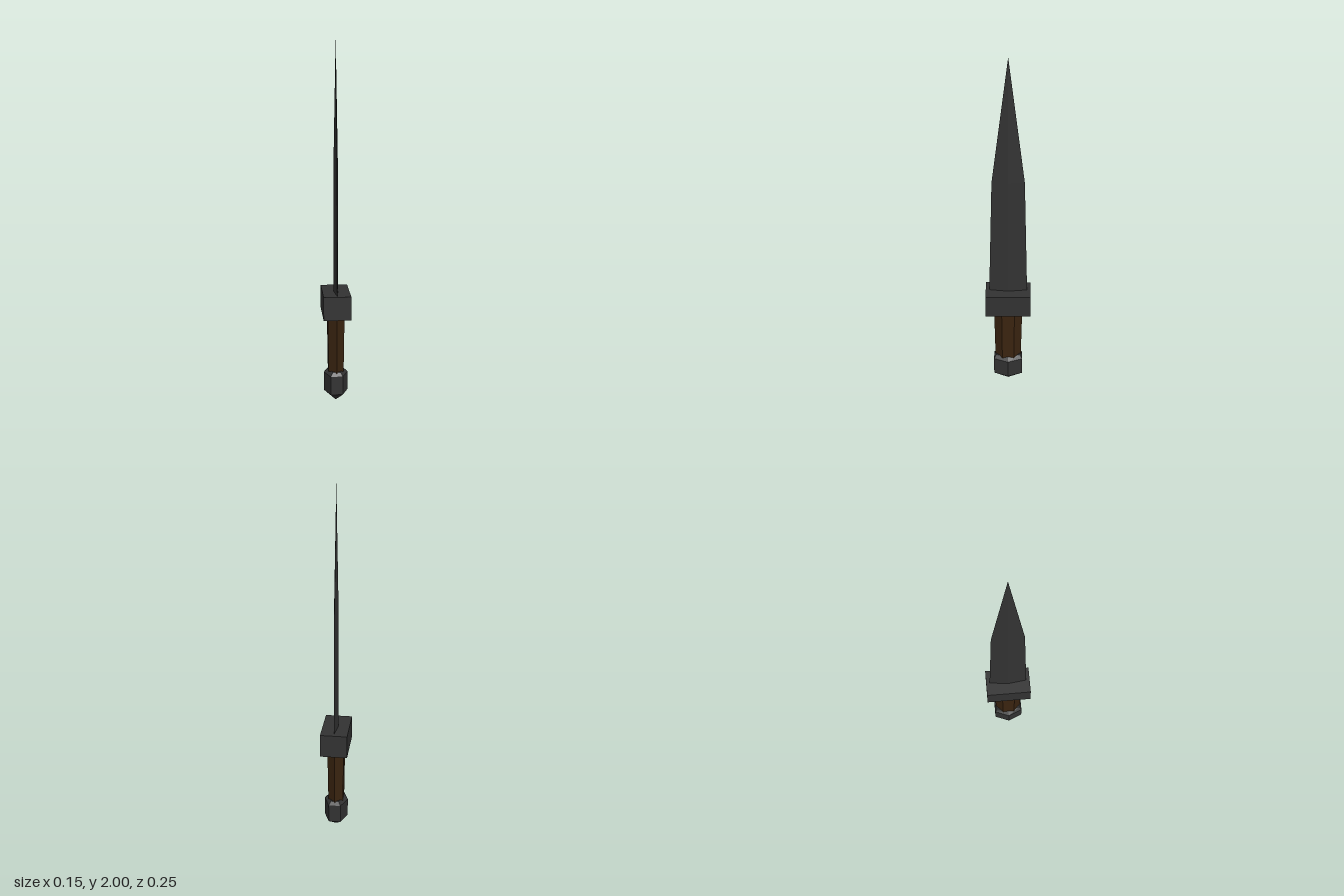
import * as THREE from 'three';

const metal = new THREE.MeshStandardMaterial({ color: 0x323232, flatShading: true });
metal.name = 'darkSteel';
const wood = new THREE.MeshStandardMaterial({ color: 0x3a2410, flatShading: true });
wood.name = 'brownWood';

// Cross-sections as [x, z], ordered from +x towards +z
const diamond = [[1, 0], [0, 1], [-1, 0], [0, -1]];
const gripHex = [[1, 0.45], [0, 1], [-1, 0.45], [-1, -0.45], [0, -1], [1, -0.45]];
const pommelHex = [[1, 0], [0.5, 1], [-0.5, 1], [-1, 0], [-0.5, -1], [0.5, -1]];

// Joins scaled copies of a section; each level is [y, half x, half z]
function loft(name, section, levels, material) {
  const rings = levels.map(([y, sx, sz]) =>
    section.map(([x, z]) => new THREE.Vector3(x * sx, y, z * sz)));
  const positions = [];
  const face = (a, b, c) => {
    if (a.equals(b) || b.equals(c) || c.equals(a)) return;
    for (const p of [a, b, c]) positions.push(p.x, p.y, p.z);
  };
  const n = section.length;
  for (let i = 0; i < rings.length - 1; i++) {
    for (let j = 0; j < n; j++) {
      const k = (j + 1) % n;
      face(rings[i][j], rings[i + 1][j], rings[i][k]);
      face(rings[i][k], rings[i + 1][j], rings[i + 1][k]);
    }
  }
  // End caps
  const bottom = rings[0], top = rings[rings.length - 1];
  for (let j = 1; j < n - 1; j++) {
    face(bottom[0], bottom[j], bottom[j + 1]);
    face(top[0], top[j + 1], top[j]);
  }
  const geometry = new THREE.BufferGeometry();
  geometry.setAttribute('position', new THREE.Float32BufferAttribute(positions, 3));
  geometry.computeVertexNormals();
  const mesh = new THREE.Mesh(geometry, material);
  mesh.name = name;
  return mesh;
}

export function createModel() {
  const dagger = new THREE.Group();
  dagger.name = 'dagger';

  // Diamond-section blade with a long tapered point
  dagger.add(loft('blade', diamond,
    [[0.6, 0.013, 0.106], [1.31, 0.012, 0.087], [2, 0, 0]], metal));

  // Block guard
  const guard = new THREE.Mesh(new THREE.BoxGeometry(0.148, 0.13, 0.25), metal);
  guard.name = 'guard';
  guard.position.y = 0.565;
  dagger.add(guard);

  // Six-sided grip, a little slimmer at the bottom
  dagger.add(loft('grip', gripHex,
    [[0.16, 0.041, 0.073], [0.52, 0.046, 0.08]], wood));

  // Pommel with a pointed base and bevelled top
  dagger.add(loft('pommel', pommelHex,
    [[0, 0, 0], [0.06, 0.066, 0.081], [0.165, 0.066, 0.081], [0.185, 0.042, 0.068]], metal));

  return dagger;
}
